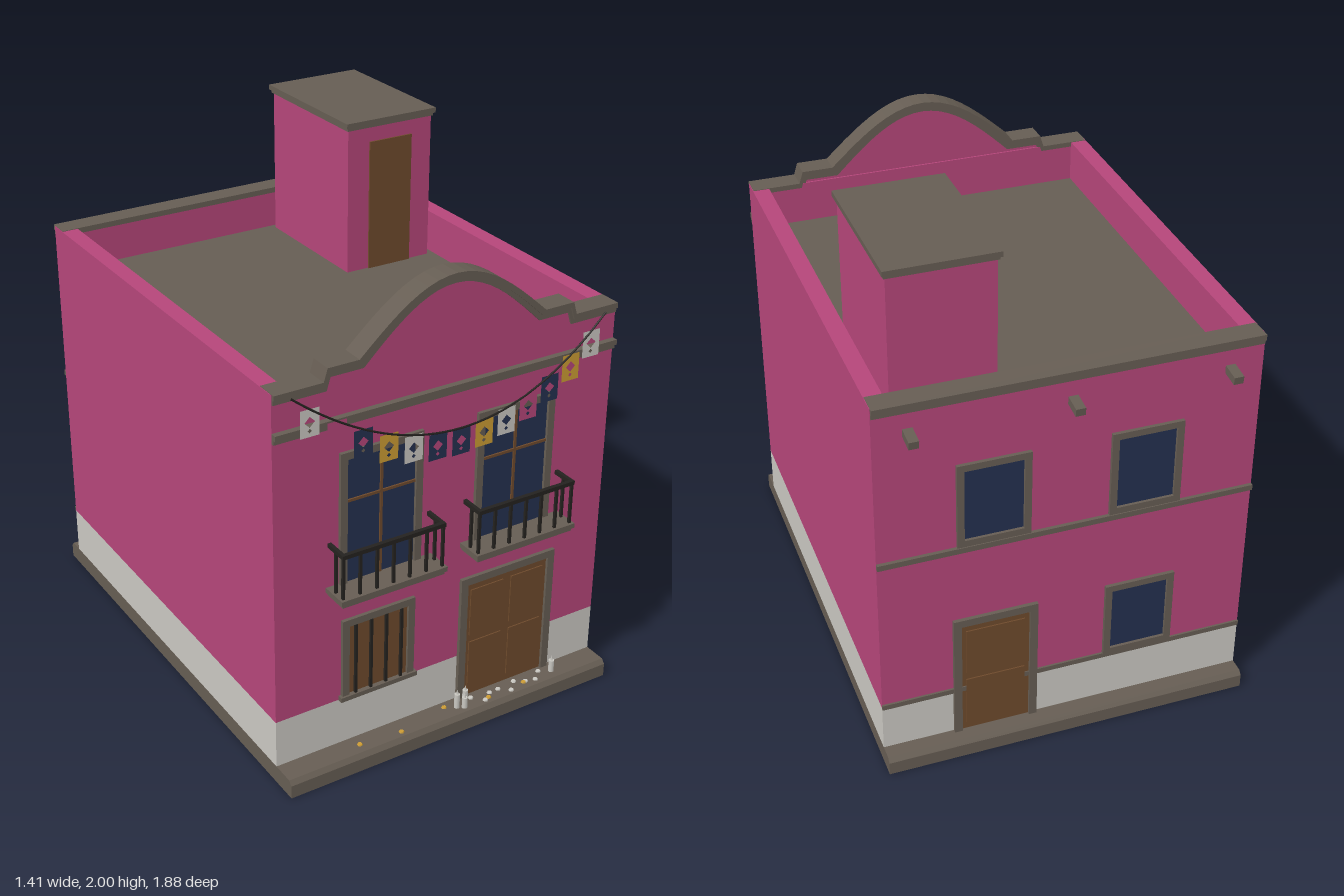
import * as THREE from 'three';

const mat = (name, color, side = THREE.FrontSide) => {
  const m = new THREE.MeshStandardMaterial({ color, side });
  m.name = name;
  return m;
};
const pink = mat('pink stucco', 0xb5467a, THREE.DoubleSide);
const lime = mat('whitewash', 0xcac8c2, THREE.DoubleSide);
const stone = mat('grey stone', 0x665d53);
const wood = mat('brown wood', 0x6e4a2c);
const glass = mat('dark blue glass', 0x243050, THREE.DoubleSide);
const iron = mat('black iron', 0x24221f);
const gold = mat('marigold', 0xcc9c34, THREE.DoubleSide);

const FRONT = 0.835, BACK = -0.87, W = 0.705, ROOF = 1.39;

export function createModel() {
  const root = new THREE.Group();
  root.name = 'townHouse';

  const add = (name, geo, m, parent = root) => {
    const mesh = new THREE.Mesh(geo, m);
    mesh.name = name;
    parent.add(mesh);
    return mesh;
  };
  const box = (name, m, x0, x1, y0, y1, z0, z1, parent) => {
    const b = add(name, new THREE.BoxGeometry(Math.abs(x1 - x0), y1 - y0, Math.abs(z1 - z0)), m, parent);
    b.position.set((x0 + x1) / 2, (y0 + y1) / 2, (z0 + z1) / 2);
    return b;
  };
  const group = (name) => {
    const g = new THREE.Group();
    g.name = name;
    root.add(g);
    return g;
  };
  const poly = (pts) => new THREE.Shape(pts.map(([x, y]) => new THREE.Vector2(x, y)));
  const rect = (x0, x1, y0, y1) => [[x0, y0], [x1, y0], [x1, y1], [x0, y1]];
  const extrude = (shape, z0, z1) =>
    new THREE.ExtrudeGeometry(shape, { depth: z1 - z0, bevelEnabled: false }).translate(0, 0, z0);
  // Rectangular surround with an opening
  const frame = (name, x0, x1, y0, y1, t, z0, z1, parent, sill = t) => {
    const s = poly(rect(x0, x1, y0, y1));
    s.holes.push(poly(rect(x0 + t, x1 - t, y0 + sill, y1 - t)));
    add(name, extrude(s, z0, z1), stone, parent);
  };

  // Pavement slab with chamfered kerbs
  const kerb = poly([[-0.94, 0], [0.94, 0], [0.94, 0.053], [0.925, 0.07], [-0.925, 0.07], [-0.94, 0.053]]);
  add('pavement', extrude(kerb, -W, W).rotateY(Math.PI / 2), stone);

  // Walls: whitewashed base, hollow upper shell, sunken roof
  box('wallBase', lime, -W, W, 0.07, 0.262, BACK, FRONT);
  const shell = poly(rect(-W, W, -FRONT, -BACK));
  shell.holes.push(poly(rect(-0.64, 0.64, -0.765, 0.8)));
  add('walls', extrude(shell, 0.262, 1.555).rotateX(-Math.PI / 2), pink);
  box('roof', stone, -0.64, 0.64, ROOF - 0.03, ROOF, -0.8, 0.765);

  // Curved front gable and its two-step coping; d lowers the outline
  const outline = (d) => {
    const half = [], r = 0.38 - 0.55 * d;
    for (let i = 0; i <= 10; i++) {
      const x = (r * i) / 10;
      half.push([x, 1.605 - d + 0.222 * Math.cos((Math.PI / 2) * (x / r))]);
    }
    half.push([0.502 - 0.4 * d, 1.605 - d], [0.517 - 0.4 * d, 1.557 - d], [0.703, 1.557 - d]);
    return [...half.slice(1).reverse().map(([x, y]) => [-x, y]), ...half];
  };
  const gable = outline(0.03).slice(1, -1);
  add('gable', extrude(poly(gable), 0.772, FRONT), pink);
  const coping = (d0, d1, z0, z1) =>
    add('gableCoping', extrude(poly([...outline(d0), ...outline(d1).reverse()]), z0, z1), stone);
  coping(0, 0.02, 0.762, 0.85);
  coping(0.02, 0.038, 0.766, 0.843);

  // Front cornice, back coping and back string courses
  box('frontCornice', stone, -W, W, 1.395, 1.415, FRONT, 0.858);
  box('frontCornice', stone, -W, W, 1.378, 1.395, FRONT, 0.848);
  box('backCoping', stone, -0.703, 0.703, 1.535, 1.557, -0.885, -0.798);
  box('backCoping', stone, -0.703, 0.703, 1.518, 1.535, -0.878, BACK);
  box('backStringCourse', stone, -W, W, 0.9, 0.922, -0.884, BACK);
  box('backStringCourse', stone, -W, W, 0.258, 0.278, -0.878, BACK);

  // Rain spouts
  for (const x of [-0.58, 0, 0.58]) {
    const s = add('rainSpout', new THREE.BoxGeometry(0.036, 0.03, 0.08), stone);
    s.position.set(x, 1.435, -0.9);
    s.rotation.x = -0.12;
  }

  // Roof stair tower
  const tower = group('stairTower');
  box('towerWalls', pink, 0.235, 0.612, ROOF, 1.972, -0.775, -0.21, tower);
  box('towerCapLower', stone, 0.229, 0.618, 1.968, 1.98, -0.782, -0.204, tower);
  box('towerCap', stone, 0.222, 0.625, 1.98, 2, -0.79, -0.197, tower);
  box('towerDoor', wood, 0.33, 0.52, ROOF, 1.91, -0.21, -0.203, tower);

  // Front upper windows with balconies
  for (const c of [-0.282, 0.282]) {
    const win = group('balconyWindow');
    frame('windowFrame', c - 0.167, c + 0.167, 0.755, 1.272, 0.028, FRONT, 0.849, win, 0.002);
    box('windowGlass', glass, c - 0.139, c + 0.139, 0.755, 1.245, FRONT, 0.838, win);
    box('mullion', wood, c - 0.005, c + 0.005, 0.755, 1.245, 0.838, 0.844, win);
    box('transom', wood, c - 0.139, c + 0.139, 1.076, 1.086, 0.838, 0.844, win);

    const bal = group('balcony');
    box('balconySlab', stone, c - 0.218, c + 0.218, 0.738, 0.757, FRONT, 0.942, bal);
    box('balconySlabLower', stone, c - 0.21, c + 0.21, 0.725, 0.738, FRONT, 0.934, bal);
    box('frontRail', iron, c - 0.211, c + 0.211, 0.918, 0.934, 0.918, 0.934, bal);
    for (const s of [-1, 1]) {
      const x = c + s * 0.204;
      box('sideRail', iron, x - 0.007, x + 0.007, 0.918, 0.934, FRONT, 0.92, bal);
      box('sideBar', iron, x - 0.005, x + 0.005, 0.757, 0.92, 0.873, 0.883, bal);
    }
    for (let i = 0; i <= 6; i++) {
      const x = c - 0.204 + 0.068 * i;
      box('railBar', iron, x - 0.005, x + 0.005, 0.757, 0.92, 0.921, 0.931, bal);
    }
  }

  // Front lower window with shutters and iron bars
  const low = group('barredWindow');
  frame('windowFrame', -0.437, -0.133, 0.27, 0.6, 0.028, FRONT, 0.849, low, 0.01);
  box('sill', stone, -0.447, -0.123, 0.262, 0.28, FRONT, 0.857, low);
  box('shutters', wood, -0.41, -0.16, 0.28, 0.573, FRONT, 0.839, low);
  for (let i = 0; i < 4; i++) {
    const x = -0.382 + i * 0.064;
    box('windowBar', iron, x - 0.005, x + 0.005, 0.28, 0.573, 0.842, 0.852, low);
  }

  // Panelled doors; out is +1 for the front, -1 for the back
  const door = (x0, x1, top, leaves, wall, out) => {
    const g = group(out > 0 ? 'frontDoor' : 'backDoor');
    const t = 0.03, zf = wall + out * 0.015;
    box('doorJamb', stone, x0, x0 + t, 0.07, top, wall, zf, g);
    box('doorJamb', stone, x1 - t, x1, 0.07, top, wall, zf, g);
    box('doorLintel', stone, x0 + t, x1 - t, top - t, top, wall, zf, g);
    box('doorLeaf', wood, x0 + t, x1 - t, 0.07, top - t, wall, wall + out * 0.004, g);
    const w = (x1 - x0 - 2 * t) / leaves;
    for (let i = 0; i < leaves; i++)
      for (const [a, b] of [[0.1, 0.31], [0.34, top - t - 0.03]]) {
        const x = x0 + t + i * w;
        box('doorPanel', wood, x + 0.018, x + w - 0.018, a, b, wall, wall + out * 0.009, g);
      }
  };
  door(0.07, 0.492, 0.6, 2, FRONT, 1);
  door(0.115, 0.435, 0.597, 1, BACK, -1);

  // Back windows
  for (const [c, y0, y1] of [[0.282, 0.925, 1.268], [-0.282, 0.925, 1.268], [-0.282, 0.275, 0.597]]) {
    const win = group('backWindow');
    frame('windowFrame', c - 0.135, c + 0.135, y0, y1, 0.026, BACK - 0.014, BACK, win);
    box('windowGlass', glass, c - 0.11, c + 0.11, y0 + 0.02, y1 - 0.02, BACK - 0.003, BACK, win);
  }

  // Festoon: sagging cord with pierced paper flags
  const bunting = group('bunting');
  const cordAt = (x) => {
    const u = (x / 0.645) ** 2;
    return new THREE.Vector3(x, 1.275 + 0.26 * u, 0.905 - 0.05 * u);
  };
  const pts = [];
  for (let i = 0; i <= 20; i++) pts.push(cordAt(-0.645 + 0.0645 * i));
  add('cord', new THREE.TubeGeometry(new THREE.CatmullRomCurve3(pts), 40, 0.004, 5), iron, bunting);
  const diamond = (y, w, h) => poly([[0, y - h], [w, y], [0, y + h], [-w, y]]);
  const flag = poly(rect(-0.037, 0.037, -0.102, 0));
  flag.holes.push(diamond(-0.048, 0.02, 0.02), diamond(-0.08, 0.008, 0.008));
  const flagGeo = new THREE.ShapeGeometry(flag);
  const order = [lime, pink, glass, gold, lime, glass, glass, gold, lime, pink, glass, gold, lime];
  order.forEach((m, i) => {
    add('paperFlag', flagGeo, m, bunting).position.copy(cordAt((i - 6) * 0.0965));
  });

  // Candles by the front door
  for (const [x, z, h] of [[0.043, 0.885, 0.06], [0.068, 0.9, 0.045], [0.092, 0.868, 0.05], [0.485, 0.885, 0.05]]) {
    const c = group('candle');
    c.position.set(x, 0.07, z);
    add('candleBody', new THREE.CylinderGeometry(0.011, 0.011, h, 10).translate(0, h / 2, 0), lime, c);
    add('candleTip', new THREE.ConeGeometry(0.005, 0.022, 6).translate(0, h + 0.011, 0), lime, c);
  }

  // Petals scattered on the pavement
  for (let i = 0; i < 14; i++) {
    const x = i < 5 ? [-0.385, -0.215, 0, 0.18, 0.35][i] : 0.12 + (i - 5) * 0.04;
    const p = add('petal', new THREE.CylinderGeometry(0.009, 0.011, 0.005, 6), i < 5 ? gold : lime);
    p.position.set(x, 0.0725, 0.885 + 0.022 * Math.sin(i * 2.3));
  }
  return root;
}
